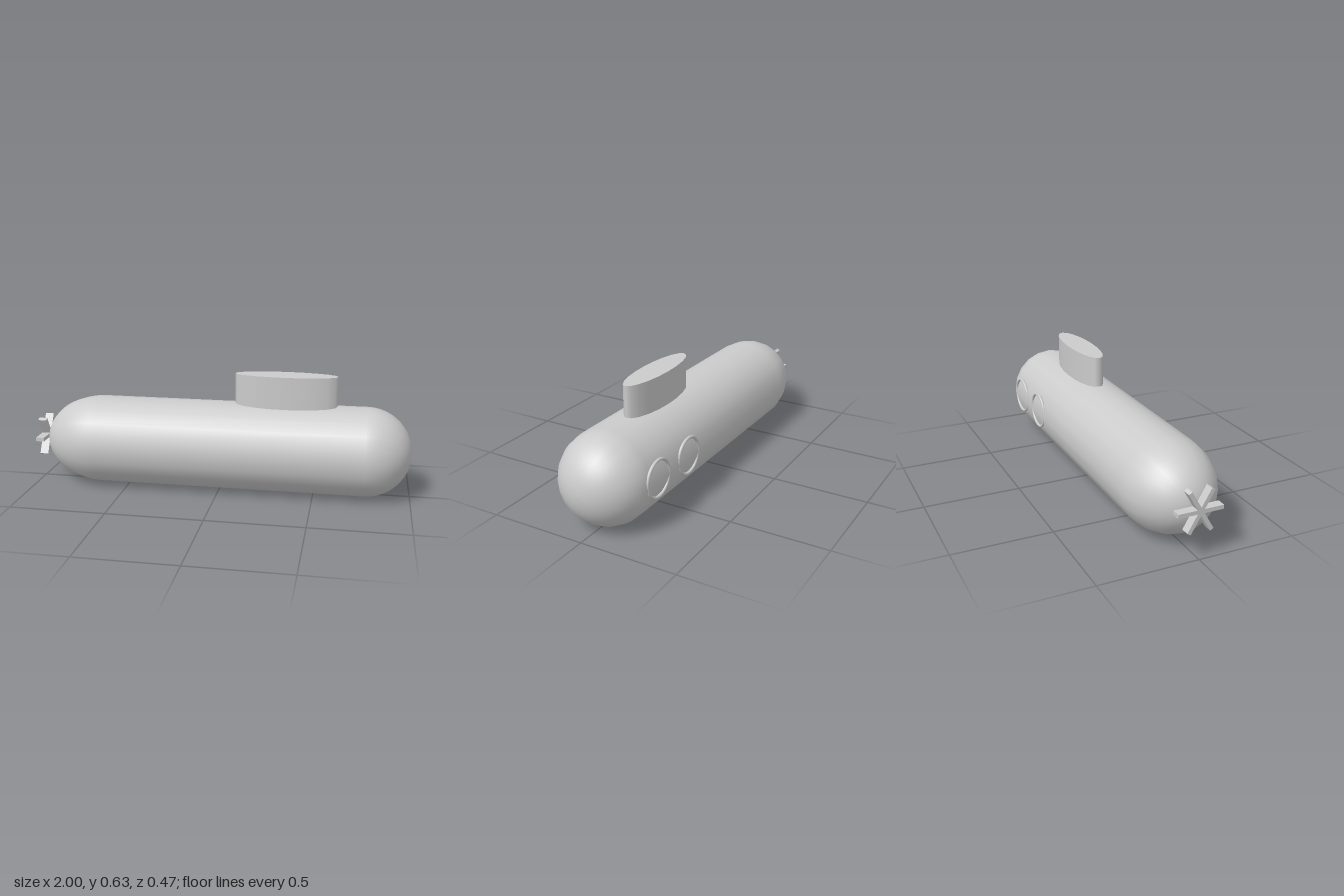
import * as THREE from 'three';

const grey = new THREE.MeshStandardMaterial({ color: 0xcccccc });
const R = 0.234;        // hull radius
const AXIS_Y = 0.235;   // height of the hull axis

function add(parent, name, geometry, x = 0, y = 0, z = 0) {
  const mesh = new THREE.Mesh(geometry, grey);
  mesh.name = name;
  mesh.position.set(x, y, z);
  parent.add(mesh);
  return mesh;
}

// Profile turned about the long axis: stretched tail, straight body, round nose
function hullGeometry() {
  const tailX = -0.65, tailLength = 0.305, noseX = 0.765, steps = 14;
  const profile = [];
  for (let i = 0; i <= steps; i++) {
    const a = (i / steps) * Math.PI / 2;
    profile.push(new THREE.Vector2(R * Math.sin(a), tailX - tailLength * Math.cos(a)));
  }
  for (let i = 0; i <= steps; i++) {
    const a = (i / steps) * Math.PI / 2;
    profile.push(new THREE.Vector2(R * Math.cos(a), noseX + 0.235 * Math.sin(a)));
  }
  profile[0].x = 0;
  profile[profile.length - 1].x = 0;
  return new THREE.LatheGeometry(profile, 20).rotateZ(-Math.PI / 2);
}

export function createModel() {
  const model = new THREE.Group();
  model.name = 'submarine';

  add(model, 'hull', hullGeometry(), 0, AXIS_Y, 0);

  // Conning tower: elliptical column rooted inside the hull
  const tower = new THREE.CylinderGeometry(1, 1, 0.327, 20).scale(0.267, 1, 0.07);
  add(model, 'conningTower', tower, 0.343, 0.4635, 0);

  // Porthole rims on the right side only
  for (const x of [0.422, 0.695]) {
    add(model, 'portholeRim', new THREE.TorusGeometry(0.093, 0.008, 10, 40), x, 0.248, -0.227);
  }

  // Propeller: three crossed bars make six blades
  const propeller = new THREE.Group();
  propeller.name = 'propeller';
  propeller.position.set(-0.9775, 0.241, 0);
  for (let i = 0; i < 3; i++) {
    const blade = add(propeller, 'bladePair', new THREE.BoxGeometry(0.045, 0.02, 0.23));
    blade.rotation.x = i * Math.PI / 3;
  }
  model.add(propeller);

  return model;
}
